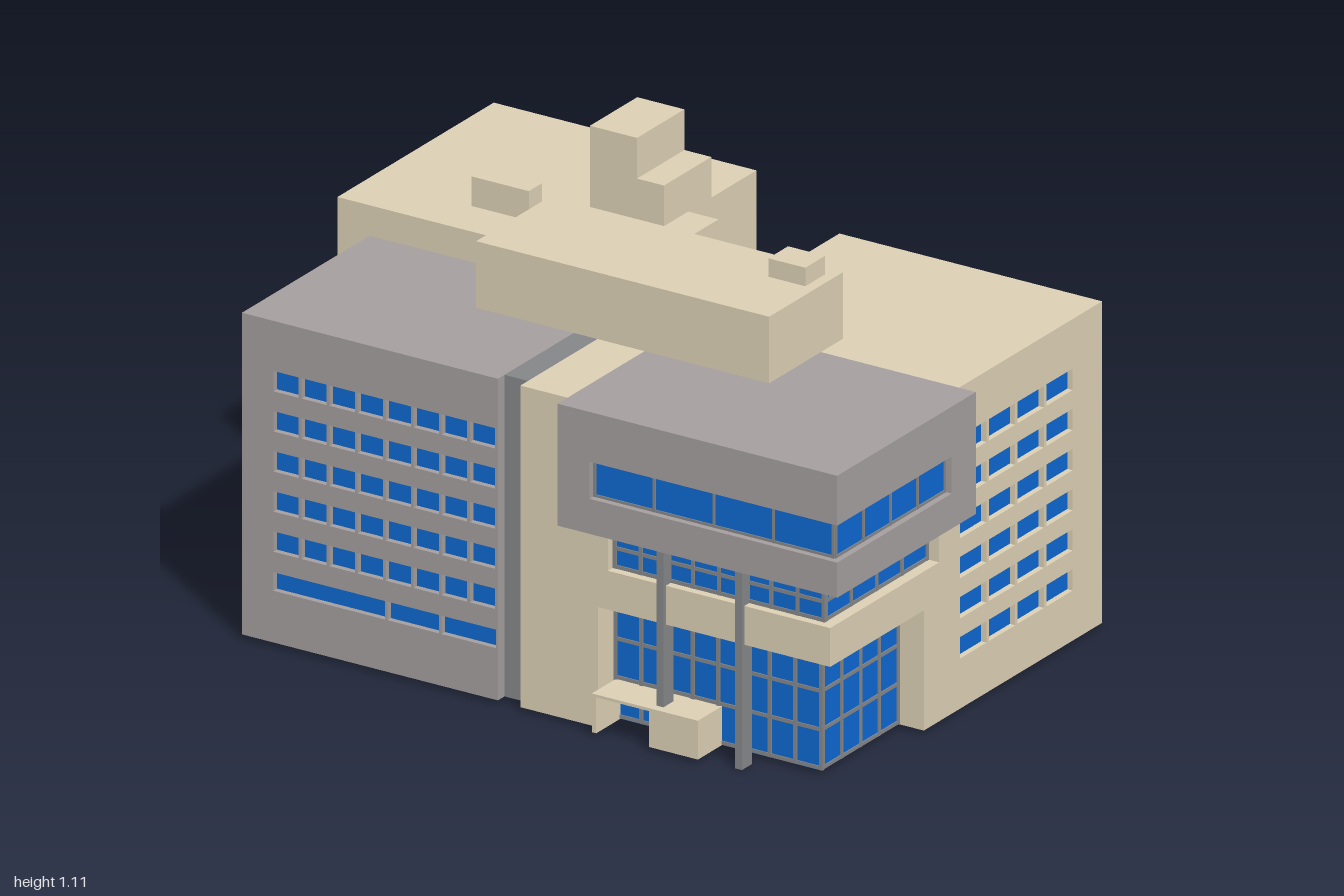
import * as THREE from 'three';

const paint = (color) => new THREE.MeshStandardMaterial({ color });
const T = 0.02; // facade thickness = window recess
const FRONT = 0, LEFT = Math.PI / 2, BACK = Math.PI, RIGHT = -Math.PI / 2;

export function createModel() {
  const model = new THREE.Group();
  const beige = paint(0xdcd0b4), grey = paint(0xa59e9e), dark = paint(0x858688), glass = paint(0x0d68d0);

  // Box given by its limits on each axis
  function block(name, mat, x0, x1, y0, y1, z0, z1, parent = model) {
    const m = new THREE.Mesh(new THREE.BoxGeometry(x1 - x0, y1 - y0, z1 - z0), mat);
    m.position.set((x0 + x1) / 2, (y0 + y1) / 2, (z0 + z1) / 2);
    m.name = name;
    parent.add(m);
    return m;
  }

  // Group turned to one side; inside it x runs along the wall and z points outward
  function side(name, angle) {
    const g = new THREE.Group();
    g.name = name;
    g.rotation.y = angle;
    model.add(g);
    return g;
  }

  // Wall with window holes and glass set behind it, d = distance of the wall from the origin
  function facade(name, mat, angle, d, u0, u1, windows) {
    const g = side(name, angle);
    const rect = (P, a, b, c, e) => {
      const p = new P();
      p.moveTo(a, c); p.lineTo(b, c); p.lineTo(b, e); p.lineTo(a, e); p.closePath();
      return p;
    };
    const shape = rect(THREE.Shape, u0, u1, 0.01, 0.88);
    for (const w of windows) shape.holes.push(rect(THREE.Path, ...w));
    const wall = new THREE.Mesh(new THREE.ExtrudeGeometry(shape, { depth: T, bevelEnabled: false }), mat);
    wall.position.z = d - T;
    wall.name = name + 'Wall';
    g.add(wall);
    for (const [a, b, c, e] of windows) {
      block('windowPane', glass, a - 0.002, b + 0.002, c - 0.002, e + 0.002, d - T - 0.004, d - T + 0.004, g);
    }
  }

  // Rows and columns of equal windows: centres along the wall, centre heights, size
  function windowGrid(us, vs, w, h) {
    return vs.flatMap((v) => us.map((u) => [u - w / 2, u + w / 2, v - h / 2, v + h / 2]));
  }
  const series = (start, step, n) => Array.from({ length: n }, (_, i) => start + i * step);

  // Glazing bars over a glass wall
  function bars(name, angle, d, u0, u1, nu, v0, v1, nv, t = 0.01) {
    const g = side(name, angle);
    for (let i = 0; i <= nu; i++) {
      const u = u0 + t / 2 + ((u1 - u0 - t) * i) / nu;
      block('upright', dark, u - t / 2, u + t / 2, v0, v1, d - 0.004, d + 0.004, g);
    }
    for (let j = 0; j <= nv; j++) {
      const v = v0 + t / 2 + ((v1 - v0 - t) * j) / nv;
      block('crossbar', dark, u0, u1, v - t / 2, v + t / 2, d - 0.003, d + 0.003, g);
    }
  }

  const floors = [0.715, 0.5, 0.285];
  const sixFloors = series(0.717, -0.1085, 6);

  // Rear wing
  block('rearWing', beige, -1 + T, -0.22, 0.01, 0.88, -0.75 + T, -0.04);
  facade('rearWingBack', beige, BACK, 0.75, 0.22, 1, windowGrid(series(0.385, 0.146, 4), floors, 0.11, 0.085));
  facade('rearWingSide', beige, RIGHT, 1, -0.75, -0.04, windowGrid(series(-0.595, 0.138, 4), floors, 0.1, 0.085));
  block('rearLink', beige, -0.44, -0.13, 0.01, 0.88, -0.44, 0.12);

  // Grey front wing
  block('greyWing', grey, -0.8 + T, -0.04, 0.01, 0.88, 0.12, 0.7 - T);
  const frontWindows = windowGrid(series(-0.669, 0.0833, 8), sixFloors.slice(0, 5), 0.075, 0.055);
  for (const [a, b] of [[-0.707, -0.375], [-0.368, -0.215], [-0.208, -0.045]]) {
    frontWindows.push([a, b, 0.15, 0.2]);
  }
  facade('greyWingFront', grey, FRONT, 0.7, -0.8, -0.04, frontWindows);
  facade('greyWingSide', grey, RIGHT, 0.8, 0.12, 0.7, windowGrid(series(0.25, 0.136, 3), floors, 0.085, 0.085));

  // Recessed dark joint and beige bay beside it
  block('joint', dark, -0.04, 0.03, 0.01, 0.88, 0.12, 0.67);
  block('bay', beige, 0.03, 0.17, 0.01, 0.88, 0.12, 0.705);

  // Side wing
  block('sideWing', beige, 0.17, 0.95 - T, 0.01, 0.88, -0.53 + T, 0.12);
  facade('sideWingBack', beige, BACK, 0.53, -0.95, -0.17, windowGrid(series(-0.815, 0.17, 4), floors, 0.09, 0.1));
  facade('sideWingSide', beige, LEFT, 0.95, -0.12, 0.53, windowGrid(series(-0.055, 0.1305, 4), sixFloors, 0.12, 0.058));

  // Body below the overhang
  block('lowerBody', beige, 0.17, 0.95, 0.01, 0.44, 0.12, 0.28);
  block('upperBody', beige, 0.17, 0.95, 0.44, 0.55, 0.12, 0.21);
  block('lobbyWall', beige, 0.17, 0.26, 0.01, 0.44, 0.28, 0.705);
  block('bandWall', beige, 0.17, 0.29, 0.44, 0.55, 0.21, 0.705);
  block('ledge', beige, 0.26, 0.95, 0.335, 0.44, 0.28, 0.705);

  // Glass lobby and window band above the ledge
  block('lobbyGlass', glass, 0.26, 0.875, 0.01, 0.335, 0.28, 0.63);
  bars('lobbyFrontBars', FRONT, 0.63, 0.26, 0.88, 8, 0.012, 0.335, 3);
  bars('lobbySideBars', LEFT, 0.875, -0.63, -0.28, 4, 0.012, 0.335, 3);
  block('bandGlass', glass, 0.29, 0.916, 0.44, 0.55, 0.21, 0.68);
  bars('bandFrontBars', FRONT, 0.68, 0.29, 0.92, 8, 0.44, 0.55, 2);
  bars('bandSideBars', LEFT, 0.916, -0.68, -0.21, 4, 0.44, 0.55, 2);

  // Grey overhang with a corner window strip
  block('overhangBase', grey, 0.17, 1, 0.55, 0.645, 0.12, 0.75);
  block('overhangTop', grey, 0.17, 1, 0.745, 0.88, 0.12, 0.75);
  block('overhangFrontPier', grey, 0.17, 0.265, 0.645, 0.745, 0.12, 0.75);
  block('overhangSidePier', grey, 0.265, 1, 0.645, 0.745, 0.12, 0.23);
  block('cornerGlass', glass, 0.265, 0.98, 0.645, 0.745, 0.23, 0.73);
  bars('cornerFrontBars', FRONT, 0.73, 0.265, 0.98, 4, 0.645, 0.745, 1, 0.007);
  bars('cornerSideBars', LEFT, 0.98, -0.73, -0.23, 4, 0.645, 0.745, 1, 0.007);

  // Entrance columns
  for (const x of [0.452, 0.685]) block('column', dark, x - 0.01, x + 0.01, 0, 0.55, 0.67, 0.716);

  // Entrance porch
  block('porchLeftWall', beige, 0.265, 0.278, 0.01, 0.115, 0.63, 0.74);
  block('porchRightWall', beige, 0.568, 0.58, 0.01, 0.115, 0.63, 0.74);
  block('porchScreen', beige, 0.435, 0.58, 0.01, 0.115, 0.73, 0.74);
  block('porchRoof', beige, 0.265, 0.58, 0.107, 0.115, 0.63, 0.74);

  // Rooftop structures
  block('penthouse', beige, -0.33, 0.54, 0.88, 1.06, 0.02, 0.355);
  block('penthouseVent', beige, 0.4, 0.51, 1.06, 1.11, 0.055, 0.145);
  block('liftTower', beige, -0.44, -0.3, 0.88, 1.1, -0.545, -0.33);
  block('liftTowerStep', beige, -0.3, -0.22, 0.88, 0.99, -0.545, -0.33);
  block('roofVent', beige, -0.69, -0.52, 0.88, 0.96, -0.235, -0.175);

  return model;
}
